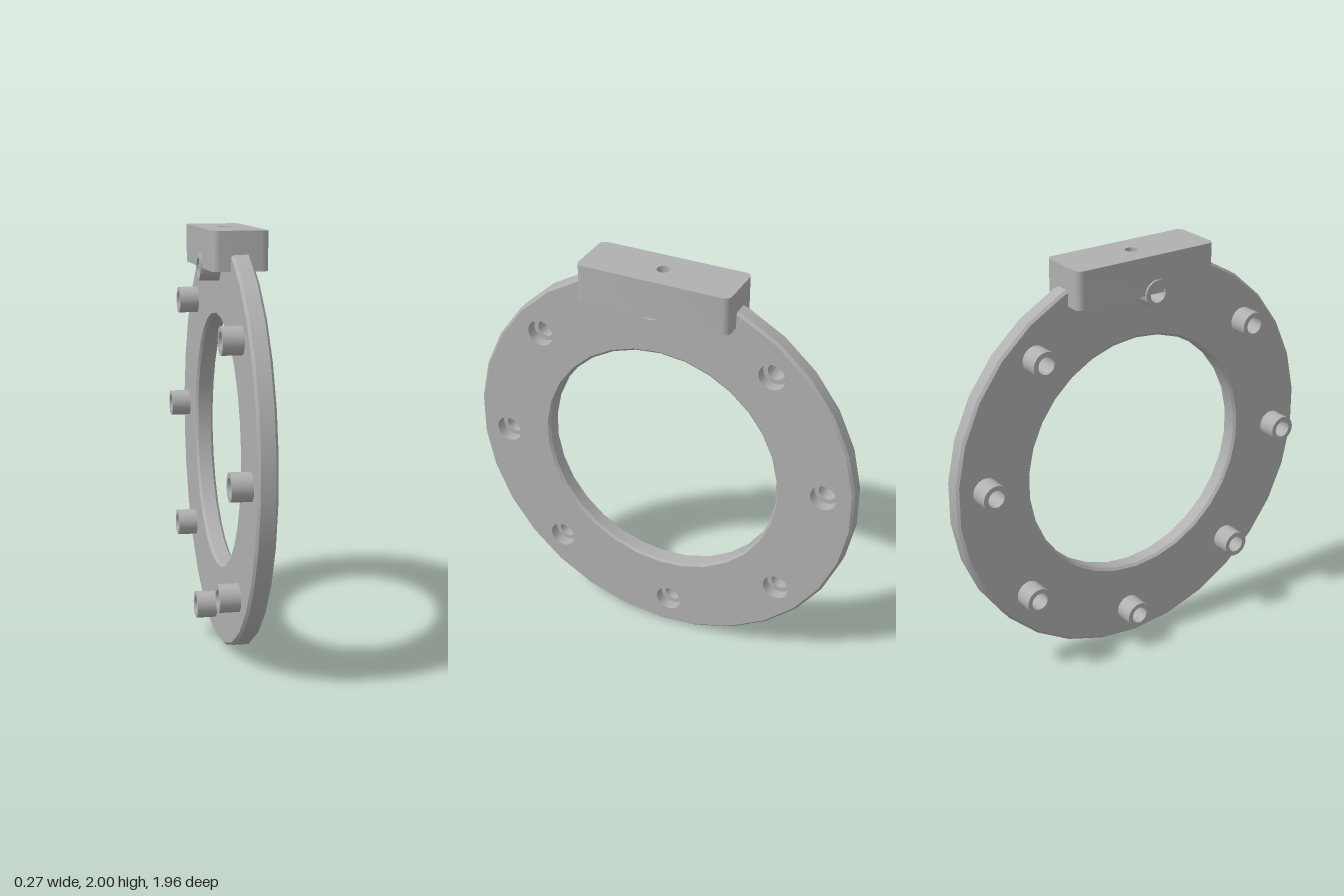
import * as THREE from 'three';
import { toCreasedNormals } from 'three/addons/utils/BufferGeometryUtils.js';

const CENTER_Y = 0.985, OUTER = 0.985, INNER = 0.6, HALF = 0.045, BEVEL = 0.012;
const SIDES = 30, BOLT_CIRCLE = 0.835, BOLT_R = 0.065, BORE_R = 0.042;

// Lathe about the x axis with a sharp edge at every profile corner; points are [radius, x]
function turned(profile, segments) {
  const pts = [];
  profile.forEach(([r, x], i) => {
    pts.push(new THREE.Vector2(r, x));
    if (i > 0 && i < profile.length - 1) pts.push(new THREE.Vector2(r, x));
  });
  const g = new THREE.LatheGeometry(pts, segments, Math.PI / 2);
  g.normalizeNormals();
  return g.rotateZ(-Math.PI / 2);
}

function circle(r, segments, cx = 0, cy = 0) {
  return Array.from({ length: segments }, (_, k) => {
    const a = (2 * Math.PI * k) / segments;
    return new THREE.Vector2(cx + r * Math.sin(a), cy + r * Math.cos(a));
  });
}

export function createModel() {
  const model = new THREE.Group();
  const metal = new THREE.MeshStandardMaterial({ color: 0xb0b0b0 });
  metal.name = 'grey metal';
  const add = (name, geometry, parent = model) => {
    const mesh = new THREE.Mesh(geometry, metal);
    mesh.name = name;
    parent.add(mesh);
    return mesh;
  };

  const ring = new THREE.Group();
  ring.name = 'ring';
  ring.position.y = CENTER_Y;
  model.add(ring);

  // Eight bolt positions, slightly rotated off the axes
  const bolts = Array.from({ length: 8 }, (_, i) => {
    const a = THREE.MathUtils.degToRad(45 * i - 3.4);
    return { z: BOLT_CIRCLE * Math.cos(a), y: BOLT_CIRCLE * Math.sin(a) };
  });

  // Chamfered outer rim and inner edge
  add('outerRim', turned([
    [OUTER - BEVEL, -HALF], [OUTER, -HALF + BEVEL],
    [OUTER, HALF - BEVEL], [OUTER - BEVEL, HALF],
  ], SIDES), ring);
  add('innerEdge', turned([
    [INNER + BEVEL, HALF], [INNER, HALF - BEVEL],
    [INNER, -HALF + BEVEL], [INNER + BEVEL, -HALF],
  ], SIDES), ring);

  // Flat plate faces with the bolt holes cut out
  for (const side of [1, -1]) {
    const shape = new THREE.Shape(circle(OUTER - BEVEL, SIDES));
    shape.holes.push(new THREE.Path(circle(INNER + BEVEL, SIDES)));
    for (const b of bolts) shape.holes.push(new THREE.Path(circle(BOLT_R, 24, -side * b.z, b.y)));
    const face = new THREE.ShapeGeometry(shape).rotateY((side * Math.PI) / 2);
    add(side > 0 ? 'leftFace' : 'rightFace', face.translate(side * HALF, 0, 0), ring);
  }

  // Counterbored sockets: hole wall, ledge, bore, and the projecting sleeve
  const socket = turned([
    [BOLT_R, HALF], [BOLT_R, -0.01], [BORE_R, -0.01],
    [BORE_R, -0.14], [BOLT_R, -0.14], [BOLT_R, -HALF],
  ], 24);
  for (const b of bolts) add('boltSocket', socket, ring).position.set(0, b.y, b.z);

  // Rounded clamp block on top, with a small hole that ends on the ring rim
  const w = 0.13, l = 0.375, r = 0.032;
  const plan = new THREE.Shape();
  plan.absarc(w - r, l - r, r, 0, Math.PI / 2);
  plan.absarc(-w + r, l - r, r, Math.PI / 2, Math.PI);
  plan.absarc(-w + r, -l + r, r, Math.PI, Math.PI * 1.5);
  plan.absarc(w - r, -l + r, r, Math.PI * 1.5, Math.PI * 2);
  plan.holes.push(new THREE.Path(circle(0.031, 20)));
  const block = new THREE.ExtrudeGeometry(plan, { depth: 0.182, bevelEnabled: false, curveSegments: 6 });
  block.rotateX(-Math.PI / 2).translate(0, 1.818, 0);
  add('topBlock', toCreasedNormals(block, 0.6));

  return model;
}
